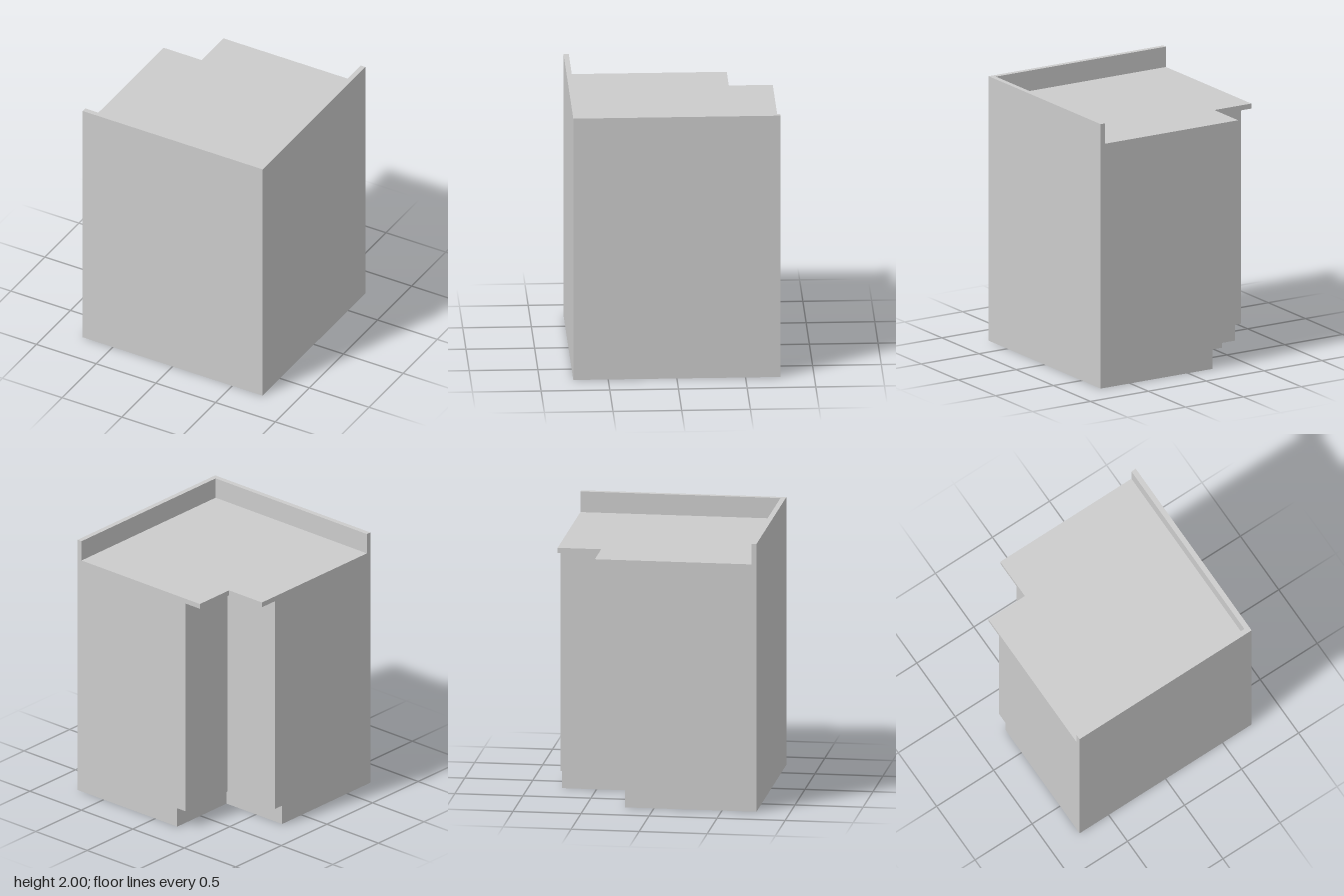
import * as THREE from 'three';

const H = 0.754;        // half width and half depth
const material = new THREE.MeshStandardMaterial({ color: 0xcccccc, flatShading: true });

// Extrude a plan outline of [x, z] points from height y0 to y1
function prism(name, plan, y0, y1) {
  const shape = new THREE.Shape(plan.map(([x, z]) => new THREE.Vector2(x, -z)));
  const geometry = new THREE.ExtrudeGeometry(shape, { depth: y1 - y0, bevelEnabled: false });
  geometry.rotateX(-Math.PI / 2).translate(0, y0, 0);
  const mesh = new THREE.Mesh(geometry, material);
  mesh.name = name;
  return mesh;
}

// Square plan with the inner corner (-x, -z) cut back to n on both axes
const cornerPlan = (n) => [[-H, H], [H, H], [H, -H], [n, -H], [n, n], [-H, n]];

export function createModel() {
  const group = new THREE.Group();
  group.name = 'cornerCabinet';

  const kickTop = 0.147, slabBottom = 1.808, slabTop = 1.846;
  const t = H - 0.038;  // inner face of the backsplash

  group.add(
    prism('toeKick', cornerPlan(-0.214), 0, kickTop),
    prism('cabinetBody', cornerPlan(-0.293), kickTop, slabBottom),
    prism('countertop', cornerPlan(-0.434), slabBottom, slabTop),
    // L-shaped upstand along the two wall sides
    prism('backsplash', [[-H, H], [H, H], [H, -H], [t, -H], [t, t], [-H, t]], slabTop, 2)
  );
  return group;
}
